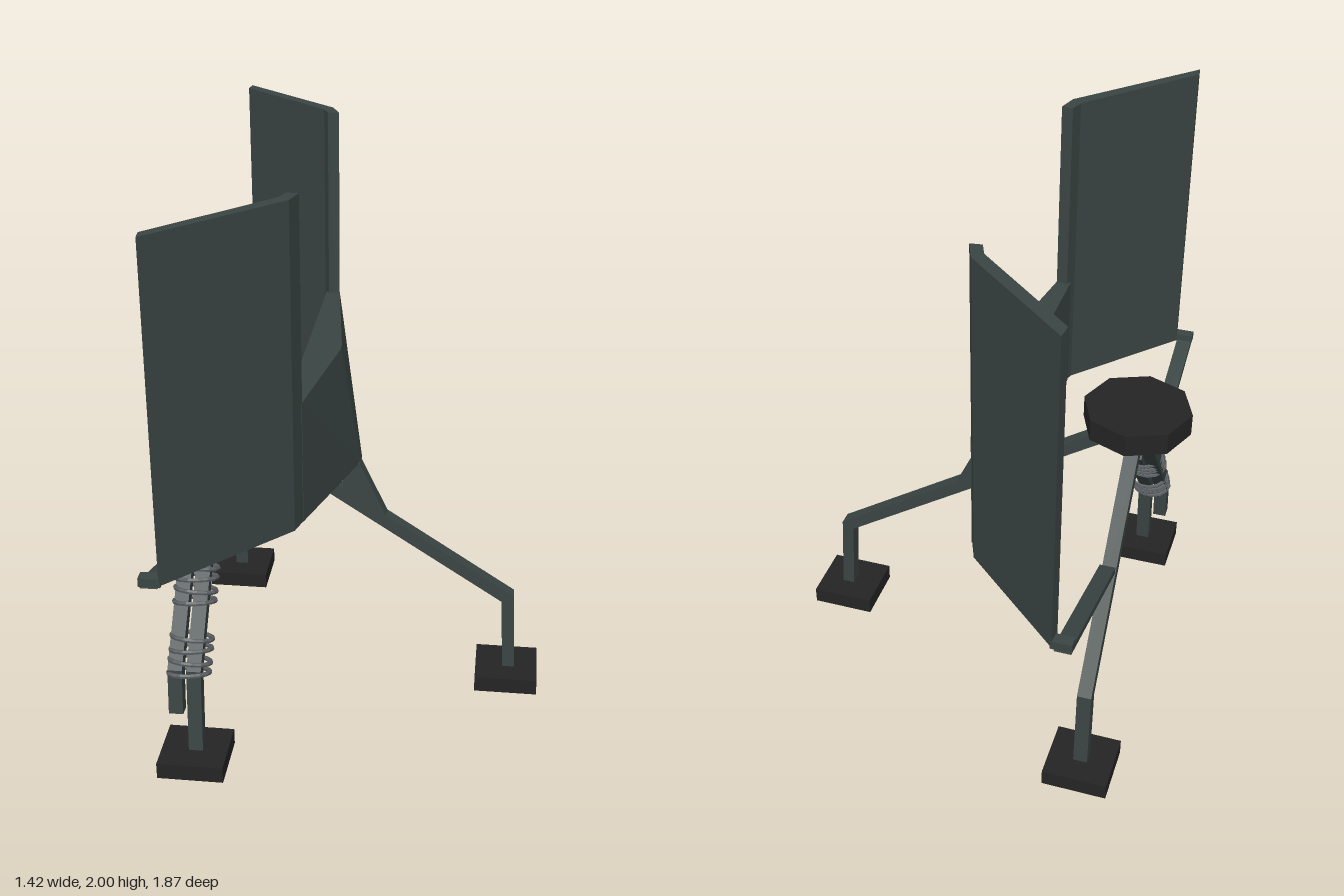
import * as THREE from 'three';
import { ConvexGeometry } from 'three/addons/geometries/ConvexGeometry.js';

const material = (name, color) => {
  const m = new THREE.MeshStandardMaterial({ color, flatShading: true });
  m.name = name;
  return m;
};

export function createModel() {
  const group = new THREE.Group();
  const metal = material('green grey metal', 0x3a4543);
  const dark = material('dark rubber', 0x242424);
  const wire = material('grey wire', 0x5c6063);

  const add = (name, geometry, mat) => {
    const mesh = new THREE.Mesh(geometry, mat);
    mesh.name = name;
    group.add(mesh);
    return mesh;
  };

  // Flat plate from a 2D outline, centred on its thickness
  const plate = (points, depth) => {
    const shape = new THREE.Shape(points.map(([x, y]) => new THREE.Vector2(x, y)));
    return new THREE.ExtrudeGeometry(shape, { depth, bevelEnabled: false }).translate(0, 0, -depth / 2);
  };

  // Bent square bar: mitred outline around a centre line
  const bar = (line, width, depth = 0.05) => {
    const p = line.map(([x, y]) => new THREE.Vector2(x, y));
    const normal = (a, b) => {
      const d = b.clone().sub(a).normalize();
      return new THREE.Vector2(-d.y, d.x);
    };
    const left = [], right = [];
    p.forEach((v, i) => {
      const n0 = normal(p[Math.max(i - 1, 0)], p[Math.max(i, 1)]);
      const n1 = i < p.length - 1 ? normal(v, p[i + 1]) : n0;
      const m = n0.clone().add(n1).normalize();
      m.multiplyScalar(width / 2 / m.dot(n1));
      left.push([v.x + m.x, v.y + m.y]);
      right.unshift([v.x - m.x, v.y - m.y]);
    });
    return plate([...left, ...right], depth);
  };

  // Same bar turned into the z-y plane at a given x
  const sideBar = (line, width, x, depth) => bar(line, width, depth).rotateY(-Math.PI / 2).translate(x, 0, 0);

  // Hub
  add('hub', new THREE.CylinderGeometry(0.19, 0.19, 0.08, 8).translate(-0.52, 1.11, 0.015), dark);

  // Three legs
  add('frontLeg', bar([[-0.52, 1.08], [0.59, 0.355], [0.605, 0.05]], 0.045).translate(0, 0, 0.02), metal);
  add('rightLeg', sideBar([[0.02, 1.09], [-0.6, 0.355], [-0.612, 0.05]], 0.045, -0.525), metal);
  add('brokenLeg', sideBar([[0.02, 1.09], [0.625, 0.36], [0.64, 0.2]], 0.045, -0.525), metal);

  // Splint that carries the broken leg's foot
  add('splint', sideBar([[0.36, 0.685], [0.625, 0.36], [0.65, 0.05]], 0.045, -0.46), metal);

  // Feet
  [['frontFoot', 0.597, 0.02], ['rightFoot', -0.525, -0.61], ['leftFoot', -0.465, 0.65]].forEach(([name, x, z]) =>
    add(name, new THREE.BoxGeometry(0.23, 0.06, 0.22).translate(x, 0.03, z), dark));

  // Wire wraps binding the splint to the leg
  [[0.45, 0.6], [0.588, 0.4]].forEach(([z, y]) => {
    for (let i = 0; i < 4; i++) {
      const t = (i - 1.5) * 0.04;
      const ring = add('wireWrap', new THREE.TorusGeometry(0.072, 0.008, 6, 14), wire);
      ring.scale.y = 0.85;
      ring.rotation.set(THREE.MathUtils.degToRad(70), (i % 2 ? 1 : -1) * 0.06, 0);
      ring.position.set(-0.48, y - t * 0.8, z + t * 0.6);
    }
  });

  // Shield wings: tall bent plates, plan outline given as [x, z]
  const wing = (name, plan) =>
    add(name, plate(plan.map(([x, z]) => [x, -z]), 1.12).rotateX(-Math.PI / 2).translate(0, 1.44, 0), metal);
  wing('leftWing', [[-0.485, 0.93], [-0.12, 0.54], [-0.1, 0.47], [-0.14, 0.465], [-0.155, 0.515], [-0.49, 0.885]]);
  wing('rightWing', [[-0.485, -0.935], [-0.13, -0.61], [-0.1, -0.535], [-0.14, -0.53], [-0.16, -0.58], [-0.49, -0.885]]);

  // Low wedge joining the wings, sloping outwards to its foot
  const corners = [];
  [[0.88, 0.042], [1.312, -0.03]].forEach(([y, nose]) => {
    [[-0.15, 0.48], [-0.1, 0.475], [nose, 0.02], [nose, -0.02], [-0.1, -0.54], [-0.15, -0.54]].forEach(([x, z]) =>
      corners.push(new THREE.Vector3(x, y, z)));
  });
  add('shieldCentre', new ConvexGeometry(corners), metal);

  // Bracket between front leg and shield
  add('shieldBracket', plate([[-0.02, 0.885], [0.04, 0.885], [0.15, 0.65], [-0.02, 0.75]], 0.05).translate(0, 0, 0.02), metal);

  // Struts from the side legs to the wing corners
  add('leftStrut', sideBar([[0.36, 0.7], [0.92, 0.878]], 0.024, -0.52, 0.055), metal);
  add('rightStrut', sideBar([[-0.34, 0.705], [-0.93, 0.878]], 0.024, -0.52, 0.055), metal);
  [0.91, -0.915].forEach((z) =>
    add('strutJoint', new THREE.BoxGeometry(0.07, 0.03, 0.04).translate(-0.515, 0.89, z), metal));

  return group;
}
